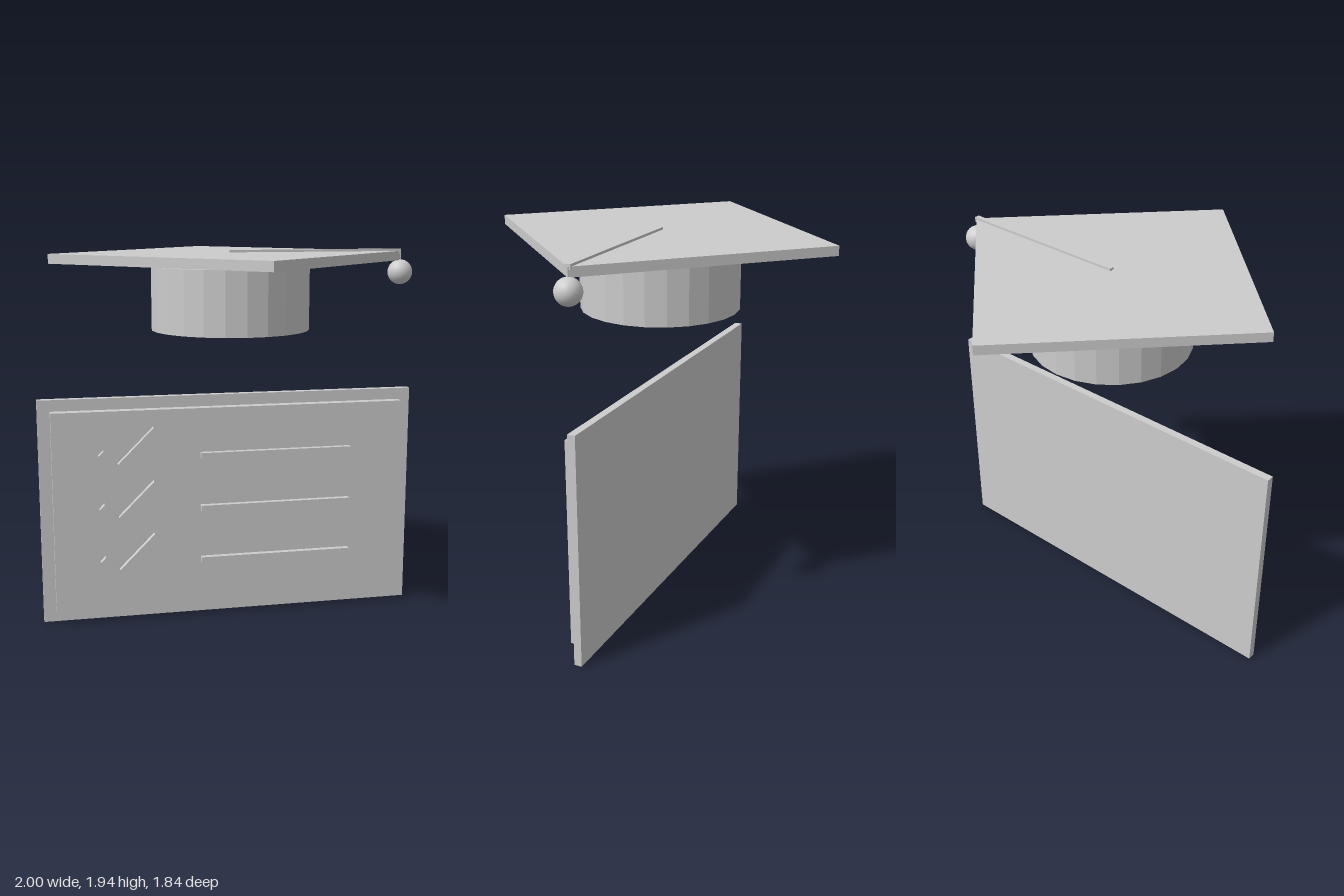
import * as THREE from 'three';

export function createModel() {
  const model = new THREE.Group();
  const grey = new THREE.MeshStandardMaterial({ color: 0xcccccc });
  grey.name = 'light grey';
  const flatGrey = grey;

  const add = (name, geometry, parent, x = 0, y = 0, z = 0) => {
    const mesh = new THREE.Mesh(geometry, flatGrey);
    mesh.name = name;
    mesh.position.set(x, y, z);
    parent.add(mesh);
    return mesh;
  };
  // box given by its lower and upper bounds
  const addBox = (name, parent, x0, x1, y0, y1, z0, z1) =>
    add(name, new THREE.BoxGeometry(x1 - x0, y1 - y0, z1 - z0), parent,
      (x0 + x1) / 2, (y0 + y1) / 2, (z0 + z1) / 2);

  // checklist board
  const board = new THREE.Group();
  board.name = 'checklistBoard';
  model.add(board);
  addBox('backPanel', board, -1, 1, 0, 1.19, -0.06, -0.02);
  addBox('frontPanel', board, -0.935, 0.935, 0.07, 1.13, -0.02, 0.033);

  // check marks and text bars, one pair per row
  const tick = new THREE.Shape([
    [0, 0], [0.213, 0.213], [0.1865, 0.2395], [0, 0.053], [-0.0735, 0.1265], [-0.1, 0.1],
  ].map(([x, y]) => new THREE.Vector2(x, y)));
  const tickGeometry = new THREE.ExtrudeGeometry(tick, { depth: 0.032, bevelEnabled: false });
  for (let i = 0; i < 3; i++) {
    const drop = i * 0.284;
    add('checkMark', tickGeometry, board, -0.6, 0.803 - drop, 0.033);
    addBox('lineBar', board, -0.165, 0.648, 0.865 - drop, 0.897 - drop, 0.033, 0.065);
  }

  // graduation cap
  const cap = new THREE.Group();
  cap.name = 'graduationCap';
  model.add(cap);
  const crown = new THREE.CylinderGeometry(0.407, 0.407, 0.323, 24).toNonIndexed();
  crown.computeVertexNormals(); // faceted sides
  add('crown', crown, cap, 0, 1.696, 0);
  const side = 0.918 * Math.SQRT2;
  add('mortarboard', new THREE.BoxGeometry(side, 0.048, side), cap, 0, 1.901, 0).rotation.y = Math.PI / 4;

  // tassel
  addBox('tasselCord', cap, -0.003, 0.915, 1.911, 1.937, -0.013, 0.013);
  add('tasselString', new THREE.CylinderGeometry(0.004, 0.004, 0.1, 8), cap, 0.917, 1.875, 0);
  add('tasselBall', new THREE.SphereGeometry(0.065, 24, 16), cap, 0.917, 1.816, 0);

  return model;
}
